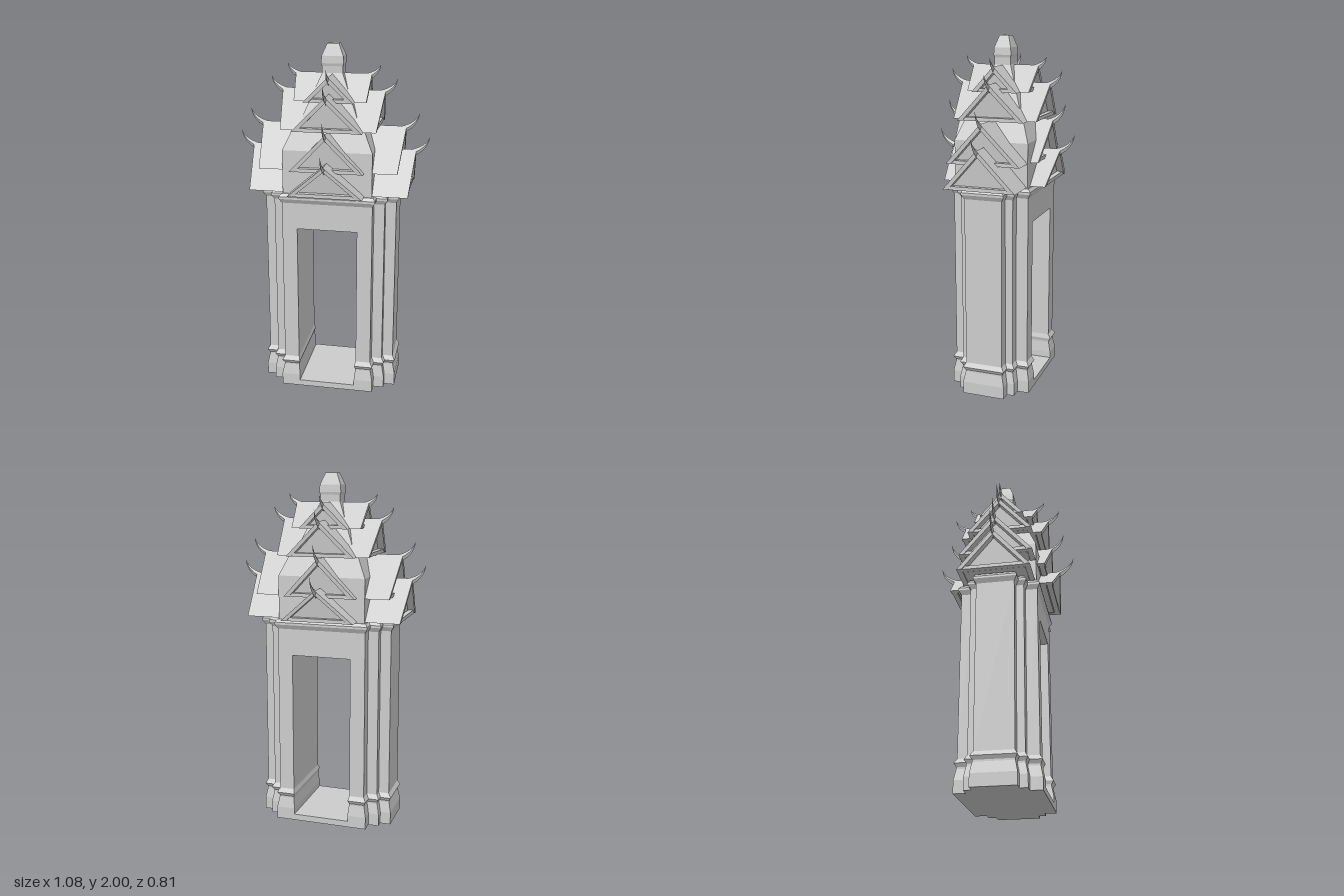
import * as THREE from 'three';

const mat = new THREE.MeshStandardMaterial({ color: 0xcccccc, flatShading: true, side: THREE.DoubleSide });

function add(parent, name, geo) {
  const m = new THREE.Mesh(geo, mat);
  m.name = name;
  parent.add(m);
  return m;
}

function box(parent, name, w, y0, y1, d, z = 0) {
  const m = add(parent, name, new THREE.BoxGeometry(w, y1 - y0, d));
  m.position.set(0, (y0 + y1) / 2, z);
  return m;
}

// Solid through rings of [x, z] points, each given at a height
function loft(rings) {
  const pos = [];
  const put = (r, i) => pos.push(r.pts[i][0], r.y, r.pts[i][1]);
  const n = rings[0].pts.length;
  for (let k = 0; k < rings.length - 1; k++) {
    const a = rings[k], b = rings[k + 1];
    for (let i = 0; i < n; i++) {
      const j = (i + 1) % n;
      put(a, i); put(a, j); put(b, j);
      put(a, i); put(b, j); put(b, i);
    }
  }
  const cap = (r, flip) => {
    const flat = r.pts.map(([x, z]) => new THREE.Vector2(x, -z));
    for (const [a, b, c] of THREE.ShapeUtils.triangulateShape(flat, [])) {
      put(r, a); put(r, flip ? c : b); put(r, flip ? b : c);
    }
  };
  cap(rings[0], true);
  cap(rings[rings.length - 1], false);
  const g = new THREE.BufferGeometry();
  g.setAttribute('position', new THREE.Float32BufferAttribute(pos, 3));
  g.computeVertexNormals();
  return g;
}

// Stepped corner of the plan, grown outward by o
const corner = [[0.255, 0.217], [0.255, 0.15], [0.315, 0.15], [0.315, 0.107], [0.375, 0.107]];
function sidePlan(o) {
  const q = corner.map(([x, z]) => [x + o, z + o]);
  return [...q, ...q.map(([x, z]) => [x, -z]).reverse()];
}
const pierPlan = (o) => [...sidePlan(o), [0.17 - o / 2, -0.217 - o], [0.17 - o / 2, 0.217 + o]];
const fullPlan = (o) => [...sidePlan(o), ...sidePlan(o).map(([x, z]) => [-x, -z])];
const rect = (x, z) => [[-x, z], [x, z], [x, -z], [-x, -z]];

// Prism along z whose end leans out from the eave to the ridge
function leaningPrism(points, yE, yR, lenE, lenR) {
  const shape = new THREE.Shape(points.map(([x, y]) => new THREE.Vector2(x, y)));
  const g = new THREE.ExtrudeGeometry(shape, { depth: 2, bevelEnabled: false });
  const p = g.attributes.position;
  for (let i = 0; i < p.count; i++) {
    const t = (p.getY(i) - yE) / (yR - yE);
    p.setZ(i, (p.getZ(i) - 1) * (lenE + (lenR - lenE) * t));
  }
  g.computeVertexNormals();
  return g;
}

// Curved tapering horn, reaching out along z and up
function hornGeometry(dz, dy) {
  const curve = new THREE.QuadraticBezierCurve(
    new THREE.Vector2(-0.035, -0.025), new THREE.Vector2(dz * 0.8, dy * 0.1), new THREE.Vector2(dz, dy));
  const g = new THREE.ConeGeometry(1, 1, 4, 6);
  const p = g.attributes.position;
  for (let i = 0; i < p.count; i++) {
    const t = p.getY(i) + 0.5;
    const c = curve.getPoint(t), d = curve.getTangent(t), r = p.getX(i) * 0.022;
    p.setXYZ(i, c.x + d.y * r, c.y - d.x * r, p.getZ(i) * 0.012);
  }
  g.rotateY(-Math.PI / 2);
  g.computeVertexNormals();
  return g;
}

// One gabled roof tier running both ways along z
function roofTier(name, { w, yE, yR, lenE, lenR, horn }) {
  const tier = new THREE.Group();
  tier.name = name;
  const t = 0.03, h = t * (yR - yE) / w;
  add(tier, 'roofSlopes', leaningPrism(
    [[-w, yE], [-w + t, yE], [0, yR - h], [w - t, yE], [w, yE], [0, yR]], yE, yR, lenE, lenR));
  // Recessed gable wall
  const inset = 0.04;
  add(tier, 'gableWall', leaningPrism(
    [[-w + t, yE + 0.002], [w - t, yE + 0.002], [0, yR - h]], yE, yR, lenE - inset, lenR - inset));
  for (const s of [1, -1]) {
    box(tier, 'tieBeam', 2 * (w - t), yE, yE + 0.02, 0.03, s * (lenE - 0.02));
    const m = add(tier, 'ridgeHorn', hornGeometry(horn[0], horn[1]));
    m.position.set(0, yR, s * lenR);
    if (s < 0) m.rotation.y = Math.PI;
  }
  return tier;
}

export function createModel() {
  const gate = new THREE.Group();
  gate.name = 'gate';

  // Piers with moulded feet, and the floor and lintel between them
  const pierProfile = [[0, 0.015], [0.07, 0.015], [0.13, 0.003], [0.14, 0.003], [0.16, 0.015],
    [0.185, 0], [1.14, 0]];
  for (const s of [0, 1]) {
    const pier = add(gate, s ? 'rightPier' : 'leftPier', loft(pierProfile.map(([y, o]) => ({ y, pts: pierPlan(o) }))));
    pier.rotation.y = s * Math.PI;
  }
  box(gate, 'threshold', 0.34, 0, 0.035, 0.464);
  box(gate, 'lintel', 0.34, 0.99, 1.14, 0.434);
  add(gate, 'cornice', loft([[1.14, 0], [1.165, 0.015], [1.178, 0.015], [1.195, 0.003]]
    .map(([y, o]) => ({ y, pts: fullPlan(o) }))));

  // Core behind the gables
  add(gate, 'lowerCore', loft([[1.19, 0.25, 0.212], [1.44, 0.25, 0.212], [1.55, 0.2, 0.17]]
    .map(([y, x, z]) => ({ y, pts: rect(x, z) }))));
  add(gate, 'upperCore', loft([[1.54, 0.17, 0.15], [1.62, 0.15, 0.13], [1.86, 0.05, 0.04]]
    .map(([y, x, z]) => ({ y, pts: rect(x, z) }))));

  // Side wings along x
  const sideWings = new THREE.Group();
  sideWings.name = 'sideWings';
  sideWings.rotation.y = Math.PI / 2;
  [
    { w: 0.205, yE: 1.2, yR: 1.425, lenE: 0.445, lenR: 0.468, horn: [0.072, 0.075] },
    { w: 0.21, yE: 1.33, yR: 1.555, lenE: 0.385, lenR: 0.41, horn: [0.07, 0.075] },
    { w: 0.19, yE: 1.55, yR: 1.75, lenE: 0.265, lenR: 0.29, horn: [0.064, 0.065] },
    { w: 0.13, yE: 1.7, yR: 1.84, lenE: 0.2, lenR: 0.213, horn: [0.047, 0.048] },
  ].forEach((o, i) => sideWings.add(roofTier('sideRoof' + (i + 1), o)));
  gate.add(sideWings);

  // Front and back wings along z
  [
    { w: 0.208, yE: 1.2, yR: 1.38, lenE: 0.297, lenR: 0.325, horn: [0.08, 0.085] },
    { w: 0.205, yE: 1.33, yR: 1.545, lenE: 0.255, lenR: 0.28, horn: [0.07, 0.09] },
    { w: 0.195, yE: 1.55, yR: 1.745, lenE: 0.24, lenR: 0.262, horn: [0.064, 0.067] },
    { w: 0.14, yE: 1.7, yR: 1.84, lenE: 0.178, lenR: 0.192, horn: [0.043, 0.045] },
  ].forEach((o, i) => gate.add(roofTier('frontBackRoof' + (i + 1), o)));

  // Crowning finial
  add(gate, 'finial', loft([[1.78, 0.058], [1.88, 0.058], [1.895, 0.063], [1.935, 0.06], [2, 0.033]]
    .map(([y, x]) => ({ y, pts: rect(x, x * 0.8) }))));

  return gate;
}
